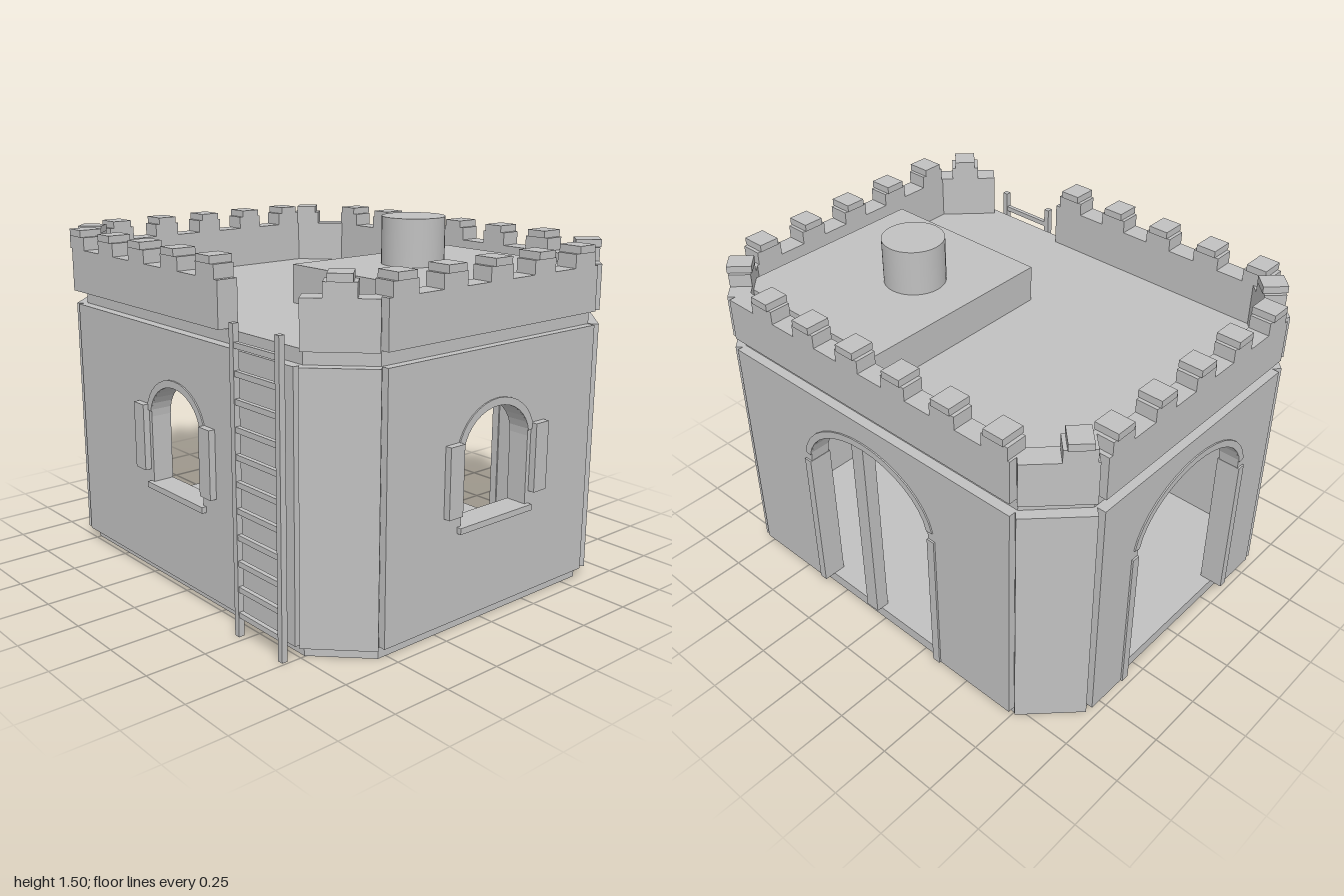
import * as THREE from 'three';

const THICK = 0.09, WALL_BOTTOM = 0.05, WALL_TOP = 1.095, ROOF = 1.15, NOTCH = 1.335;

export function createModel() {
  const stone = new THREE.MeshStandardMaterial({ color: 0xc0c0c0 });
  stone.name = 'stone grey';
  const model = new THREE.Group();
  model.name = 'castleTower';

  const add = (parent, name, geometry) => {
    const mesh = new THREE.Mesh(geometry, stone);
    mesh.name = name;
    parent.add(mesh);
    return mesh;
  };
  // Box given by its minimum and maximum on each axis
  const box = (parent, name, x0, x1, y0, y1, z0, z1) => {
    const mesh = add(parent, name, new THREE.BoxGeometry(x1 - x0, y1 - y0, z1 - z0));
    mesh.position.set((x0 + x1) / 2, (y0 + y1) / 2, (z0 + z1) / 2);
    return mesh;
  };
  const extrude = (shape, depth) =>
    new THREE.ExtrudeGeometry(shape, { depth, bevelEnabled: false, curveSegments: 8 });

  // Eight-sided floor and roof slabs
  const slab = (name, y0, y1) => {
    const corners = [[-0.54, 0.935], [0.585, 0.935], [0.775, 0.745], [0.775, -0.76],
      [0.585, -0.945], [-0.54, -0.945], [-0.73, -0.76], [-0.73, 0.745]];
    const shape = new THREE.Shape(corners.map(([x, z]) => new THREE.Vector2(x, -z)));
    const mesh = add(model, name, extrude(shape, y1 - y0));
    mesh.rotation.x = -Math.PI / 2;
    mesh.position.y = y0;
  };
  slab('floorSlab', 0, 0.05);
  slab('roofSlab', WALL_TOP, ROOF);

  // Battlement block with a narrower, overhanging cap
  const merlon = (side, u) => {
    box(side, 'merlon', u - 0.06, u + 0.06, NOTCH, 1.39, -THICK, 0);
    box(side, 'merlonCap', u - 0.045, u + 0.045, 1.39, 1.42, -THICK - 0.005, 0.007);
  };

  const door = { half: 0.34, bottom: WALL_BOTTOM, spring: 0.73, rise: 0.245 };
  const windowHole = { half: 0.18, bottom: 0.43, spring: 0.71, rise: 0.155 };

  // One wall: local x runs along it, local z = 0 is the outer face
  const wall = (name, x, z, turn, half, opening, parapet, merlons) => {
    const side = new THREE.Group();
    side.name = name;
    side.position.set(x, 0, z);
    side.rotation.y = turn;
    model.add(side);

    const { half: w, bottom, spring, rise } = opening;
    const isDoor = opening === door;
    const shape = new THREE.Shape();
    shape.moveTo(-half, WALL_BOTTOM);
    const arch = (path) => {
      path.lineTo(w, spring);
      path.absellipse(0, spring, w, rise, 0, Math.PI, false);
      path.lineTo(-w, bottom);
    };
    if (isDoor) {
      // The doorway cuts the lower edge of the wall
      shape.lineTo(-w, bottom);
      shape.lineTo(-w, spring);
      shape.absellipse(0, spring, w, rise, Math.PI, 0, true);
      shape.lineTo(w, bottom);
    } else {
      const hole = new THREE.Path();
      hole.moveTo(-w, bottom);
      hole.lineTo(w, bottom);
      arch(hole);
      shape.holes.push(hole);
    }
    shape.lineTo(half, WALL_BOTTOM);
    shape.lineTo(half, WALL_TOP);
    shape.lineTo(-half, WALL_TOP);
    shape.closePath();
    add(side, 'wallPanel', extrude(shape, THICK)).position.z = -THICK;

    // Thin rim around the arch
    const rim = new THREE.Shape();
    const t = 0.03;
    rim.absellipse(0, spring, w + t, rise + t, 0.15, Math.PI - 0.15, false);
    rim.absellipse(0, spring, w, rise, Math.PI - 0.15, 0.15, true);
    add(side, 'archRim', extrude(rim, 0.006));

    for (const s of [-1, 1]) {
      if (isDoor) {
        const c = s * (w + 0.016);
        box(side, 'doorJamb', c - 0.018, c + 0.018, WALL_BOTTOM, 0.73, -THICK - 0.006, 0.008);
      } else {
        const c = s * 0.235;
        box(side, 'shutter', c - 0.036, c + 0.036, 0.48, 0.76, 0, 0.028);
      }
    }
    if (!isDoor) box(side, 'windowSill', -0.2, 0.2, 0.405, 0.43, -THICK, 0.02);

    // Parapet and battlements
    box(side, 'parapet', parapet[0], parapet[1], ROOF, NOTCH, -THICK, 0);
    const [first, step, count] = merlons;
    for (let i = 0; i < count; i++) merlon(side, first + i * step);
    return side;
  };

  const Q = Math.PI / 2;
  wall('frontWall', 0.02, 0.97, 0, 0.56, windowHole, [-0.56, 0.56], [-0.482, 0.241, 5]);
  wall('backWall', 0.02, -0.99, Math.PI, 0.56, door, [-0.56, 0.56], [-0.482, 0.241, 5]);
  wall('leftWall', 0.817, -0.007, Q, 0.752, door, [-0.752, 0.752], [-0.542, 0.245, 6]);
  wall('rightWall', -0.772, -0.007, -Q, 0.752, windowHole, [-0.79, 0.31], [-0.743, 0.243, 5]);

  // Slanted corner walls: centre of outer face, turn, battlement offset
  for (const [x, z, turn, offset] of [
    [0.712, 0.867, Q / 2, 0], [0.712, -0.885, Q * 1.5, 0.07],
    [-0.668, -0.885, -Q * 1.5, 0], [-0.668, 0.867, -Q / 2, 0]]) {
    const corner = new THREE.Group();
    corner.name = 'cornerWall';
    corner.position.set(x, 0, z);
    corner.rotation.y = turn;
    model.add(corner);
    box(corner, 'cornerPanel', -0.142, 0.142, WALL_BOTTOM, WALL_TOP, -THICK, 0);
    box(corner, 'cornerParapet', -0.138, 0.138, ROOF, NOTCH, -THICK, 0);
    merlon(corner, offset);
  }

  // Post standing in the side doorway
  box(model, 'doorPost', 0.74, 0.8, WALL_BOTTOM, 0.97, 0.02, 0.085);

  // Raised roof block with round chimney
  box(model, 'roofBlock', -0.22, 0.68, ROOF, 1.31, 0.05, 0.84);
  const chimney = add(model, 'chimney', new THREE.CylinderGeometry(0.13, 0.13, 0.205, 32));
  chimney.position.set(0.175, 1.4025, 0.345);

  // Small chair inside
  const chair = new THREE.Group();
  chair.name = 'chair';
  model.add(chair);
  box(chair, 'chairBack', 0.17, 0.2, 0.36, 0.615, -0.35, -0.2);
  box(chair, 'chairSeat', 0.02, 0.2, 0.33, 0.36, -0.35, -0.2);
  for (const x of [0.02, 0.175])
    for (const z of [-0.35, -0.225]) box(chair, 'chairLeg', x, x + 0.025, 0.05, 0.33, z, z + 0.025);

  // Ladder beside the parapet gap
  const ladder = new THREE.Group();
  ladder.name = 'ladder';
  model.add(ladder);
  for (const z of [0.45, 0.715]) box(ladder, 'ladderRail', -0.828, -0.803, 0, 1.21, z, z + 0.025);
  for (let i = 0; i < 11; i++) {
    const y = 0.08 + i * 0.104;
    box(ladder, 'ladderRung', -0.825, -0.806, y, y + 0.022, 0.47, 0.72);
  }

  return model;
}
